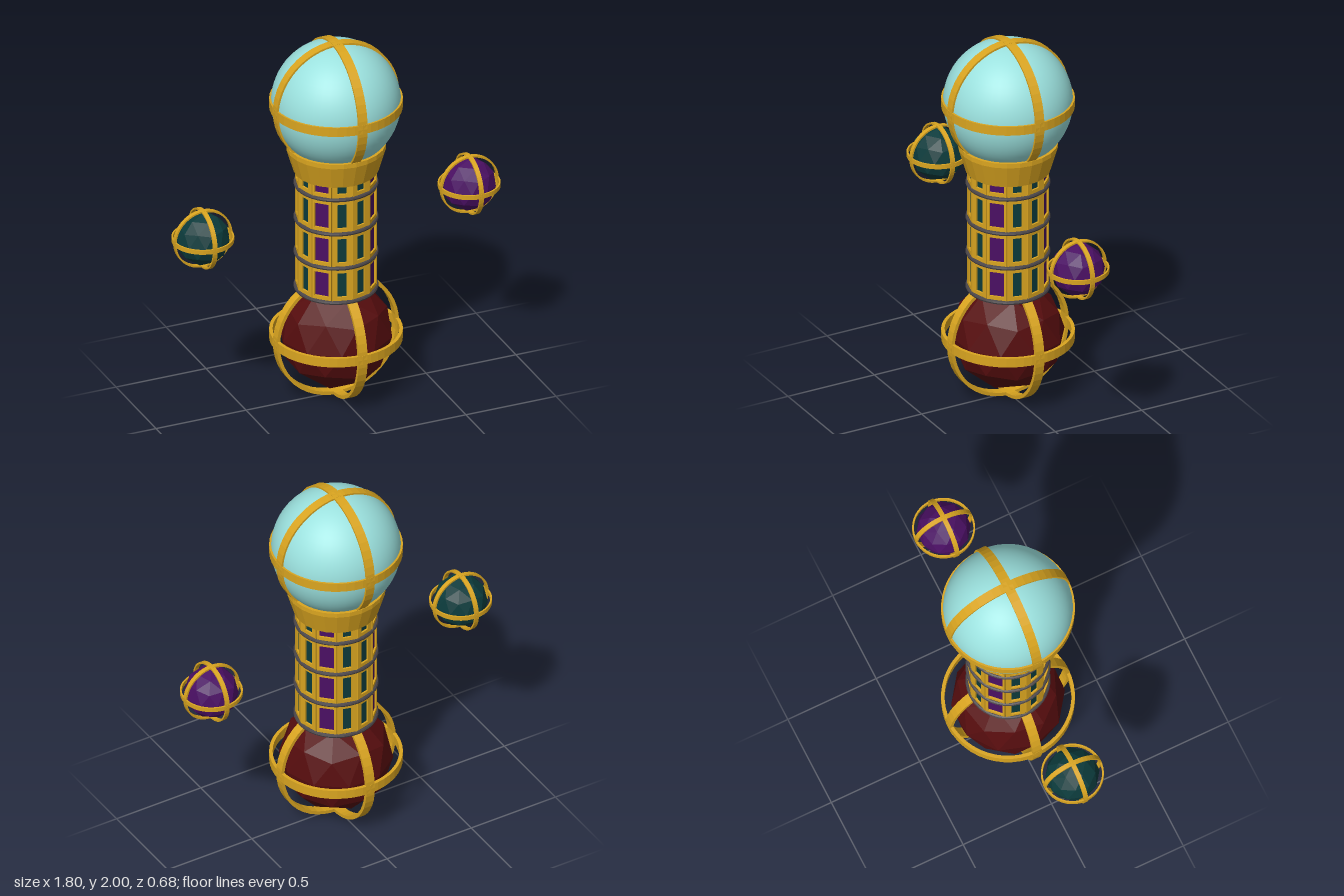
import * as THREE from 'three';

const paint = (color, flatShading = true) => {
  const m = new THREE.MeshStandardMaterial({ flatShading });
  m.color.set(color);
  return m;
};
const gold = paint(0xdaa520), red = paint(0x560d0e), green = paint(0x0c3b3c);
const purple = paint(0x4a0f63), iron = paint(0x4a4548), glass = paint(0x9be1de, false);

function part(name, geometry, material, y = 0) {
  const mesh = new THREE.Mesh(geometry, material);
  mesh.name = name;
  mesh.position.y = y;
  return mesh;
}

// Flat hoop with a rectangular section, lying around the y axis
function hoop(outer, inner, width) {
  const h = width / 2;
  const section = [[inner, -h], [outer, -h], [outer, h], [inner, h], [inner, -h]];
  return new THREE.LatheGeometry(section.map(([x, y]) => new THREE.Vector2(x, y)), 48);
}

// Three hoops at right angles to each other
function cage(name, outer, thickness, width) {
  const group = new THREE.Group();
  group.name = name;
  for (const [rx, rz] of [[0, 0], [Math.PI / 2, 0], [0, Math.PI / 2]]) {
    const band = part('hoop', hoop(outer, outer - thickness, width), gold);
    band.rotation.set(rx, 0, rz);
    group.add(band);
  }
  return group;
}

// Faceted ball with a corner at the top and the bottom
function gem(radius) {
  return new THREE.IcosahedronGeometry(radius, 1).rotateX(-Math.atan((1 + Math.sqrt(5)) / 2));
}

// Window frame: a rectangle with a rectangular opening
function frame(w, h, openW, openH, depth) {
  const rect = (path, a, b) => path.moveTo(-a / 2, -b / 2).lineTo(a / 2, -b / 2)
    .lineTo(a / 2, b / 2).lineTo(-a / 2, b / 2).closePath();
  const shape = rect(new THREE.Shape(), w, h);
  shape.holes.push(rect(new THREE.Path(), openW, openH));
  return new THREE.ExtrudeGeometry(shape, { depth, bevelEnabled: false });
}

function createTower() {
  const tower = new THREE.Group();
  tower.name = 'tower';
  const base = 0.615, storey = 0.196;
  tower.add(part('towerCore', new THREE.CylinderGeometry(0.188, 0.188, 0.79, 12), iron, base + 0.39));
  tower.add(part('towerFoot', new THREE.CylinderGeometry(0.207, 0.207, 0.016, 36), iron, base));

  // Twelve sides, with the wide window in the middle of each quarter
  const frames = [0.046, 0.076].map((w) => frame(0.102, storey, w, 0.136, 0.018));
  const panes = [0.046, 0.076].map((w) => new THREE.BoxGeometry(w, 0.136, 0.01));
  for (let floor = 0; floor < 4; floor++) {
    for (let i = 0; i < 12; i++) {
      const wide = i % 3 === 1 ? 1 : 0;
      const side = new THREE.Group();
      side.name = 'windowBay';
      side.rotation.y = (i + 0.5) * Math.PI / 6;
      side.position.y = base + (floor + 0.5) * storey;
      const rim = part('windowFrame', frames[wide], gold);
      rim.position.z = 0.184;
      const pane = part('windowPane', panes[wide], wide ? purple : green);
      pane.position.z = 0.187;
      side.add(rim, pane);
      tower.add(side);
    }
    // Iron ring at the foot of each storey
    const ring = new THREE.TorusGeometry(0.206, 0.011, 8, 36).rotateX(Math.PI / 2);
    tower.add(part('towerRing', ring, iron, base + floor * storey));
  }
  return tower;
}

export function createModel() {
  const model = new THREE.Group();
  model.name = 'ornateSceptre';

  // Red ball inside its cage
  const bottomCage = cage('bottomCage', 0.34, 0.018, 0.05);
  bottomCage.position.y = 0.34;
  model.add(part('bottomGem', gem(0.292), red, 0.345), bottomCage);

  model.add(createTower());

  // Flared collar under the glass ball
  const collar = [[0.18, 1.28], [0.218, 1.28], [0.255, 1.405], [0.255, 1.43], [0.2, 1.43]];
  model.add(part('collar', new THREE.LatheGeometry(collar.map(([x, y]) => new THREE.Vector2(x, y)), 24), gold));

  // Glass ball and its cage
  const topCage = cage('topCage', 0.34, 0.018, 0.05);
  topCage.position.y = 1.66;
  model.add(part('glassBall', new THREE.SphereGeometry(0.331, 48, 32), glass, 1.66), topCage);

  // Floating caged orbs on both sides
  for (const side of [-1, 1]) {
    const orb = new THREE.Group();
    orb.name = side > 0 ? 'leftOrb' : 'rightOrb';
    orb.position.set(side * 0.74, 1.035, 0);
    orb.add(part('orbGem', gem(0.139), side > 0 ? purple : green), cage('orbCage', 0.16, 0.009, 0.024));
    model.add(orb);
  }
  return model;
}
